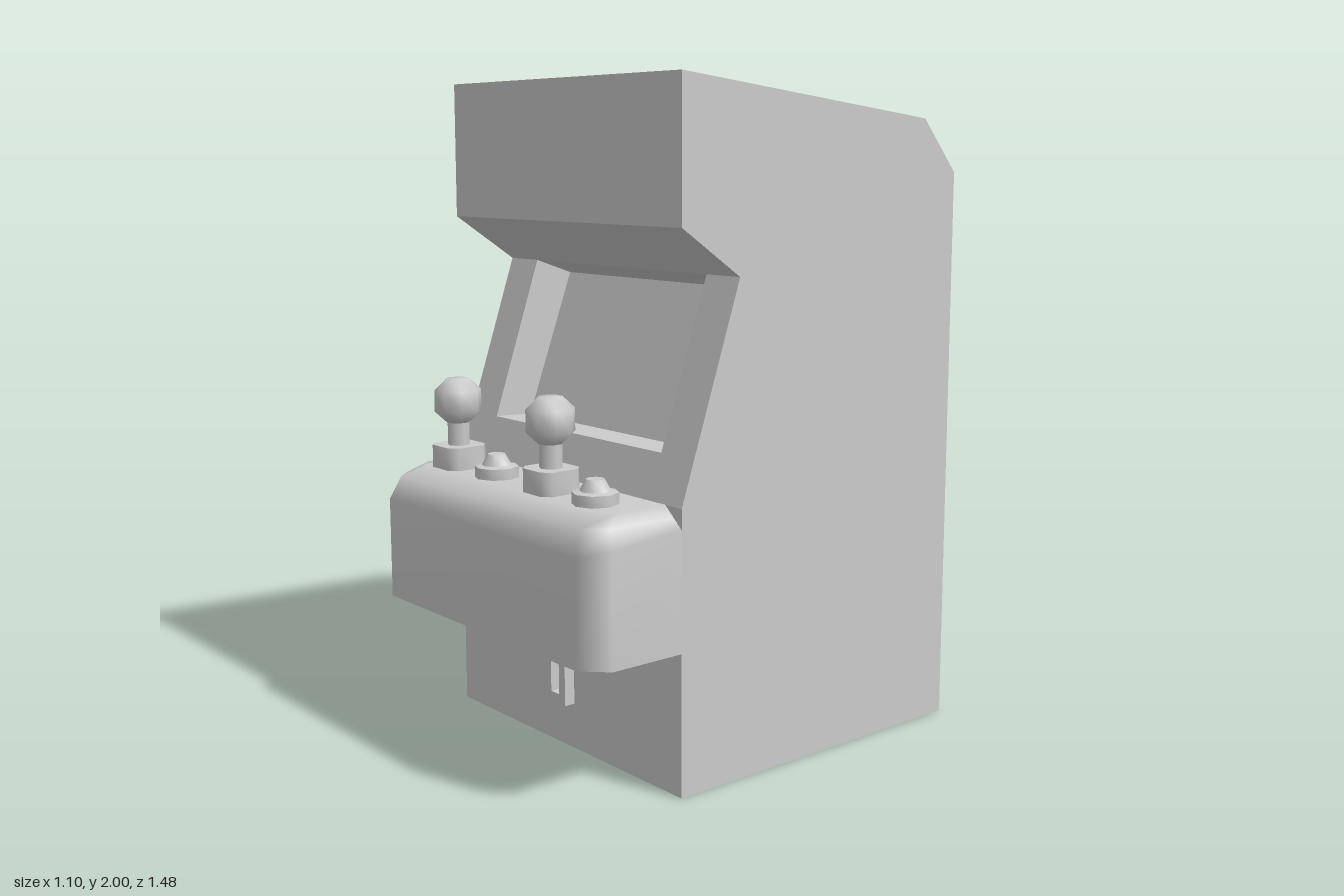
import * as THREE from 'three';
import { toCreasedNormals } from 'three/addons/utils/BufferGeometryUtils.js';

const material = new THREE.MeshStandardMaterial({ color: 0xcccccc });

function add(parent, name, geometry, x = 0, y = 0, z = 0) {
  const mesh = new THREE.Mesh(geometry, material);
  mesh.name = name;
  mesh.position.set(x, y, z);
  parent.add(mesh);
  return mesh;
}

// Flat-shaded surface from polygons, each a convex counter-clockwise loop of [x, y, z]
function polygons(faces) {
  const pos = [];
  for (const f of faces)
    for (let i = 1; i < f.length - 1; i++) pos.push(...f[0], ...f[i], ...f[i + 1]);
  const g = new THREE.BufferGeometry();
  g.setAttribute('position', new THREE.Float32BufferAttribute(pos, 3));
  g.computeVertexNormals();
  return g;
}

// Rectangle with cut corners
function chamferedRect(w, h, cx, cy) {
  const x = w / 2, y = h / 2;
  return new THREE.Shape([
    [x - cx, -y], [x, -y + cy], [x, y - cy], [x - cx, y],
    [-x + cx, y], [-x, y - cy], [-x, -y + cy], [-x + cx, -y],
  ].map(p => new THREE.Vector2(...p)));
}

function extrude(shape, depth) {
  const g = new THREE.ExtrudeGeometry(shape, { depth, bevelEnabled: false });
  return toCreasedNormals(g, 1);
}

function lathe(points, segments = 8) {
  return new THREE.LatheGeometry(points.map(p => new THREE.Vector2(...p)), segments);
}

// Cabinet: side profile swept across x, with a screen recess in the sloping front
function cabinetGeometry() {
  const W = 0.55, S = 0.41;
  // profile as [z, y], going up the front and down the back
  const prof = [[0.43, 0], [0.43, 0.83], [0.22, 1.45], [0.43, 1.59], [0.43, 2],
    [-0.53, 1.89], [-0.67, 1.73], [-0.67, 0]];
  const at = (x, [z, y]) => [x, y, z];
  const strip = (a, b, x0, x1) => [at(x0, a), at(x1, a), at(x1, b), at(x0, b)];
  const faces = [];
  prof.forEach((a, i) => {
    if (i !== 1) faces.push(strip(a, prof[(i + 1) % prof.length], -W, W));
  });

  // sloping frame around the screen
  const low = prof[1], top = prof[2], sill = [0.386, 0.96];
  const inTop = [0.09, 1.405], inLow = [0.255, 0.955];
  faces.push(strip(low, sill, -W, W), strip(sill, top, -W, -S), strip(sill, top, S, W));
  // recess floor, screen and ceiling
  faces.push(strip(sill, inLow, -S, S), strip(inLow, inTop, -S, S), strip(inTop, top, -S, S));
  // recess side walls
  const wall = [sill, inLow, inTop, top];
  faces.push(wall.map(p => at(S, p)).reverse(), wall.map(p => at(-S, p)));

  // cabinet sides
  const tris = THREE.ShapeUtils.triangulateShape(prof.map(p => new THREE.Vector2(...p)), []);
  for (const t of tris) {
    const [a, b, c] = t.map(i => prof[i]);
    const ccw = (b[0] - a[0]) * (c[1] - a[1]) - (b[1] - a[1]) * (c[0] - a[0]) > 0;
    const tri = ccw ? [a, b, c] : [a, c, b];
    faces.push(tri.map(p => at(-W, p)), tri.map(p => at(W, p)).reverse());
  }
  return polygons(faces);
}

// Control desk: stacked rings, rounded over at the front and top
function deskGeometry() {
  // back corner [x, y], side corner [x, y, z], front corner [x, y, z]
  const rings = [
    [[0.55, 0.42], [0.55, 0.42, 0.67], [0.48, 0.42, 0.74]],
    [[0.55, 0.77], [0.55, 0.75, 0.67], [0.48, 0.73, 0.74]],
    [[0.515, 0.80], [0.515, 0.80, 0.65], [0.46, 0.80, 0.71]],
    [[0.48, 0.83], [0.48, 0.83, 0.60], [0.44, 0.83, 0.63]],
  ].map(r => {
    const half = r.map(([x, y, z = 0.43]) => [x, y, z]);
    return [...half.map(([x, y, z]) => [-x, y, z]), ...half.reverse()];
  });
  const n = 6, index = [];
  for (let r = 0; r < rings.length - 1; r++)
    for (let i = 0; i < n - 1; i++) {
      const a = r * n + i, b = a + 1;
      index.push(a, b, b + n, a, b + n, a + n);
    }
  // top cap shares its edge for soft shading; bottom cap has its own corners
  const topStart = (rings.length - 1) * n, lowStart = rings.length * n;
  for (let i = 1; i < n - 1; i++) {
    index.push(topStart, topStart + i, topStart + i + 1);
    index.push(lowStart, lowStart + i + 1, lowStart + i);
  }
  const g = new THREE.BufferGeometry();
  g.setAttribute('position', new THREE.Float32BufferAttribute([...rings, rings[0]].flat(2), 3));
  g.setIndex(index);
  g.computeVertexNormals();
  return g;
}

function joystick(x, z) {
  const g = new THREE.Group();
  g.name = 'joystick';
  g.position.set(x, 0.83, z);
  const base = extrude(chamferedRect(0.136, 0.136, 0.025, 0.025), 0.07);
  base.rotateX(-Math.PI / 2);
  add(g, 'joystickBase', base);
  add(g, 'joystickShaft', new THREE.CylinderGeometry(0.034, 0.034, 0.1, 8), 0, 0.11, 0);
  const r = 0.0725;
  const ball = lathe([[0, 0.14], [r / 2, 0.14], [r, 0.175], [r, 0.24], [r / 2, 0.275], [0, 0.275]]);
  ball.rotateY(Math.PI / 8);
  add(g, 'joystickBall', ball);
  return g;
}

function button(x, z) {
  const g = new THREE.Group();
  g.name = 'button';
  g.position.set(x, 0.83, z);
  const profile = [[0.067, 0], [0.067, 0.033], [0.045, 0.037], [0.027, 0.07], [0, 0.07]];
  add(g, 'buttonCap', toCreasedNormals(lathe(profile), 0.85));
  return g;
}

export function createModel() {
  const model = new THREE.Group();
  model.name = 'arcadeCabinet';

  add(model, 'cabinet', cabinetGeometry());
  add(model, 'controlDesk', deskGeometry());

  // two sets of controls
  for (const x of [-0.35, 0.135]) {
    model.add(joystick(x, 0.567));
    model.add(button(x + 0.208, 0.567));
  }

  // coin plate with an open slot
  const plate = chamferedRect(0.1, 0.17, 0, 0);
  plate.holes.push(new THREE.Path([[-0.02, -0.055], [-0.02, 0.052], [0.02, 0.052], [0.02, -0.055]]
    .map(p => new THREE.Vector2(...p))));
  add(model, 'coinPlate', extrude(plate, 0.035), 0, 0.225, 0.43);

  // rear service hatch
  add(model, 'rearHatch', extrude(chamferedRect(0.826, 0.965, 0.14, 0.15), 0.07), 0, 0.6225, -0.74);

  return model;
}
